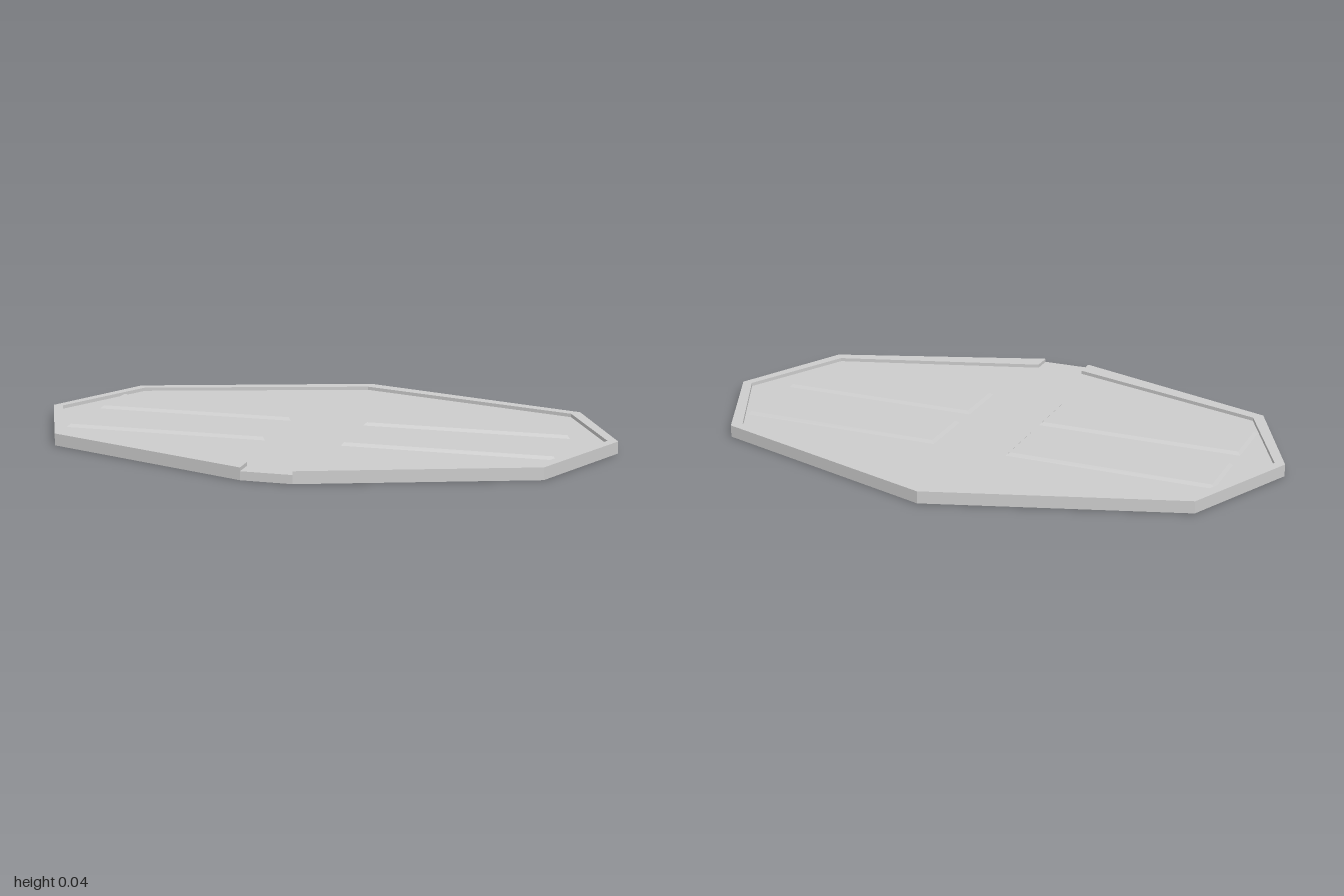
import * as THREE from 'three';

const FLOOR = 0.029, TOP = 0.041;
const material = new THREE.MeshStandardMaterial({ color: 0xcccccc, flatShading: true });

// Extrudes an [x, z] outline between two heights
function slab(name, outline, bottom, top) {
  const shape = new THREE.Shape(outline.map(([x, z]) => new THREE.Vector2(x, z)));
  const geometry = new THREE.ExtrudeGeometry(shape, { depth: top - bottom, bevelEnabled: false });
  geometry.rotateX(Math.PI / 2).translate(0, top, 0);
  const mesh = new THREE.Mesh(geometry, material);
  mesh.name = name;
  return mesh;
}

// Low raised plate whose sides slope inward to the top
function plate(name, x, z, width, depth) {
  const height = 0.01, inset = 0.01;
  const geometry = new THREE.BoxGeometry(width, height, depth);
  const p = geometry.attributes.position;
  for (let i = 0; i < p.count; i++) {
    if (p.getY(i) > 0) {
      p.setX(i, p.getX(i) - Math.sign(p.getX(i)) * inset);
      p.setZ(i, p.getZ(i) - Math.sign(p.getZ(i)) * inset);
    }
  }
  geometry.computeVertexNormals();
  const mesh = new THREE.Mesh(geometry, material);
  mesh.name = name;
  mesh.position.set(x, FLOOR + height / 2, z);
  return mesh;
}

export function createModel() {
  const group = new THREE.Group();
  group.name = 'tray';

  // Left halves of the outer and inner edges, from back to front
  const outer = [[0, -0.655], [0.82, -0.393], [1, 0], [0.82, 0.398], [0.085, 0.655]];
  const inner = [[0, -0.602], [0.793, -0.36], [0.965, 0], [0.793, 0.365], [0.085, 0.583]];
  const mirror = (points) => points.slice(1).reverse().map(([x, z]) => [-x, z]);
  const outerLoop = [...outer, ...mirror(outer)];

  // Solid floor
  group.add(slab('floor', outerLoop, 0, FLOOR));

  // Raised rim, open at the front notch
  const outerArc = [...mirror(outer), ...outer];
  const innerArc = [...mirror(inner), ...inner];
  group.add(slab('rim', [...outerArc, ...innerArc.reverse()], FLOOR, TOP));

  // Four raised plates in two rows
  for (const [side, x] of [['left', 0.482], ['right', -0.485]]) {
    group.add(plate(side + 'BackPlate', x, -0.147, 0.708, 0.212));
    group.add(plate(side + 'FrontPlate', x, 0.149, 0.708, 0.212));
  }
  return group;
}
